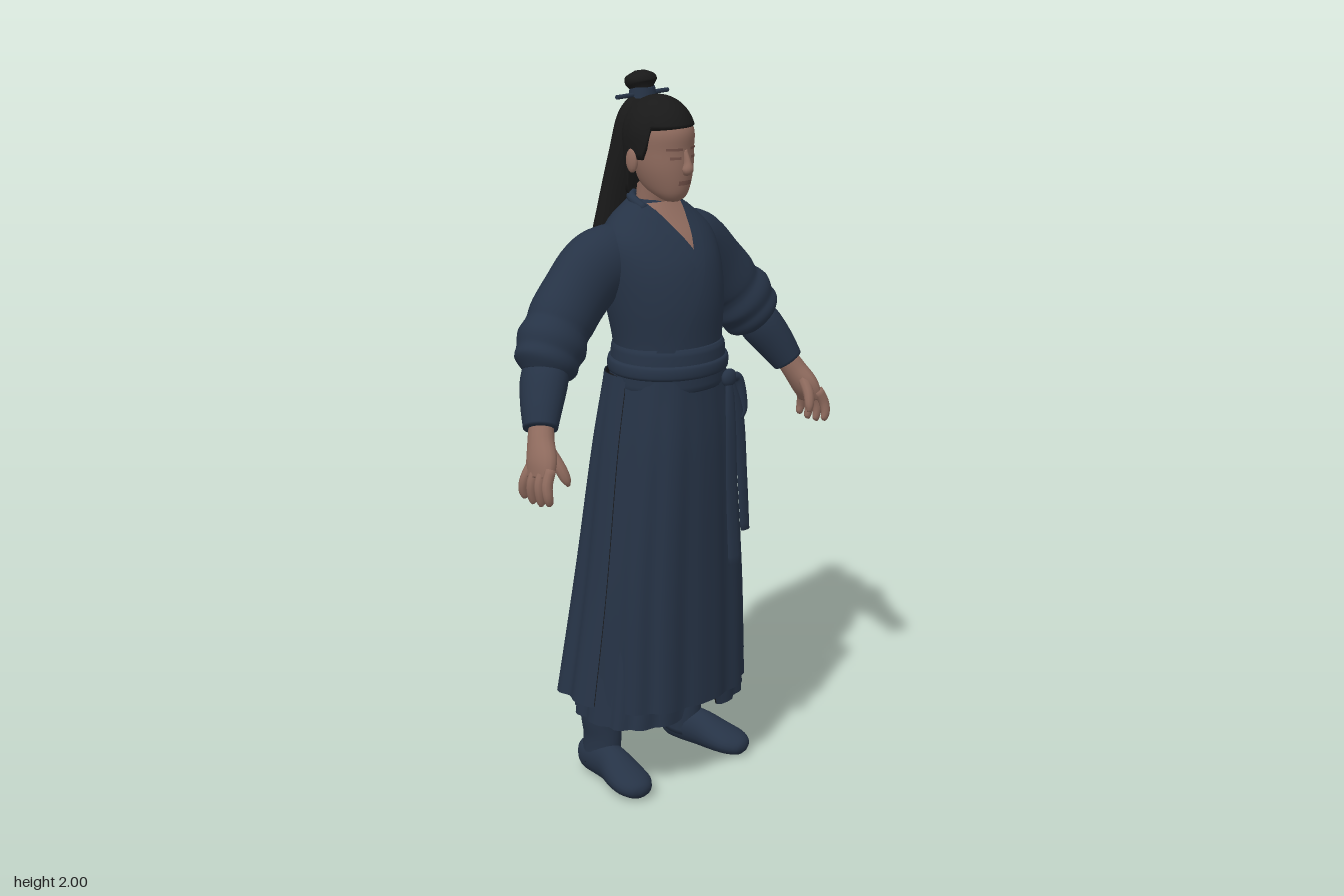
import * as THREE from 'three';

const mat = (name, color) => {
  const m = new THREE.MeshStandardMaterial({ color, side: THREE.DoubleSide });
  m.name = name;
  return m;
};
const V = (x, y, z) => new THREE.Vector3(x, y, z);
const rad = (d) => (d * Math.PI) / 180;

// Skin a list of point rings; `wrap` closes each ring, `caps` closes both ends
function surface(rings, wrap = true, caps = wrap) {
  const n = rings[0].length, pos = [], idx = [];
  rings.forEach((r) => r.forEach((p) => pos.push(p.x, p.y, p.z)));
  for (let i = 0; i < rings.length - 1; i++) {
    for (let j = 0; j < (wrap ? n : n - 1); j++) {
      const k = (j + 1) % n, a = i * n, b = a + n;
      idx.push(a + j, b + j, a + k, a + k, b + j, b + k);
    }
  }
  if (caps) {
    [0, rings.length - 1].forEach((r) => {
      const c = rings[r].reduce((s, p) => s.add(p), V(0, 0, 0)).divideScalar(n), at = pos.length / 3;
      pos.push(c.x, c.y, c.z);
      for (let j = 0; j < n; j++) {
        const p = r * n + j, q = r * n + ((j + 1) % n);
        if (r) idx.push(p, at, q); else idx.push(p, q, at);
      }
    });
  }
  const g = new THREE.BufferGeometry();
  g.setAttribute('position', new THREE.Float32BufferAttribute(pos, 3));
  g.setIndex(idx);
  g.computeVertexNormals();
  return g;
}

// Elliptical tube through stations [x, y, z, radiusSide, radiusRef]
function loft(stations, { ref = V(0, 0, 1), seg = 20, steps = 24 } = {}) {
  const path = new THREE.CatmullRomCurve3(stations.map((s) => V(s[0], s[1], s[2])), false, 'catmullrom');
  const size = new THREE.CatmullRomCurve3(stations.map((s) => V(s[3], s[4], 0)), false, 'catmullrom');
  const rings = [];
  for (let i = 0; i <= steps; i++) {
    const c = path.getPoint(i / steps), r = size.getPoint(i / steps), t = path.getTangent(i / steps);
    const v = ref.clone().addScaledVector(t, -ref.dot(t)).normalize(), u = t.clone().cross(v);
    rings.push(Array.from({ length: seg }, (_, j) => {
      const a = (j / seg) * Math.PI * 2;
      return c.clone().addScaledVector(u, Math.cos(a) * r.x).addScaledVector(v, Math.sin(a) * r.y);
    }));
  }
  return surface(rings);
}

// Smooth lookup in rows [y, halfWidth, frontZ, backZ] with y rising
function rowAt(rows, y) {
  let i = 0;
  while (i < rows.length - 2 && y > rows[i + 1][0]) i++;
  const a = rows[i], b = rows[i + 1], h = b[0] - a[0], t = Math.min(1, Math.max(0, (y - a[0]) / h));
  const slope = (k, c) => {
    const p = rows[Math.max(0, k - 1)], q = rows[Math.min(rows.length - 1, k + 1)];
    return (q[c] - p[c]) / (q[0] - p[0]);
  };
  return [1, 2, 3].map((c) => (2 * t ** 3 - 3 * t * t + 1) * a[c] + (t ** 3 - 2 * t * t + t) * h * slope(i, c)
    + (3 * t * t - 2 * t ** 3) * b[c] + (t ** 3 - t * t) * h * slope(i + 1, c));
}
function body(rows, n = 28, seg = 36) {
  const y0 = rows[0][0], y1 = rows[rows.length - 1][0];
  return surface(Array.from({ length: n + 1 }, (_, i) => {
    const y = y0 + ((y1 - y0) * i) / n, [rx, zf, zb] = rowAt(rows, y);
    return Array.from({ length: seg }, (_, j) => {
      const a = (j / seg) * Math.PI * 2;
      return V(Math.cos(a) * rx, y, (zf + zb) / 2 + Math.sin(a) * (zf - zb) / 2);
    });
  }));
}
// Thin sheet laid on the front of a body between two x edges
function patch(rows, y0, y1, left, right, off, n = 14) {
  return surface(Array.from({ length: n + 1 }, (_, i) => {
    const y = y0 + ((y1 - y0) * i) / n, [rx, zf, zb] = rowAt(rows, y);
    return Array.from({ length: 9 }, (_, j) => {
      const x = right(y) + ((left(y) - right(y)) * j) / 8;
      const k = Math.sqrt(Math.max(0, 1 - (x / rx) ** 2));
      return V(x, y, (zf + zb) / 2 + k * (zf - zb) / 2 + off);
    });
  }), false);
}
// Pleated cloth from hem to waist, over an angle range that may vary with height
function cloth(rows, hem, from, to, pleats, inset, wrap = false) {
  const top = rows[rows.length - 1][0], n = 24, seg = 96;
  return surface(Array.from({ length: n + 1 }, (_, i) => Array.from({ length: seg + (wrap ? 0 : 1) }, (_, j) => {
    const f = j / seg, low = hem(rad(from(0) + (to(0) - from(0)) * f));
    const y = low + ((top - low) * i) / n, t = Math.max(0, (top - y) / (top - rows[0][0]));
    const b = rad(from(t) + (to(t) - from(t)) * f), [rx, zf, zb] = rowAt(rows, y);
    const fold = 1 - 0.05 * Math.sqrt(t) * Math.abs(Math.sin(b * pleats)) ** 3;
    const c = Math.cos(b), s = Math.sin(b), sq = (k) => Math.sign(k) * Math.abs(k) ** 0.78;
    return V(sq(c) * (rx * fold - inset), y, sq(s) * ((s > 0 ? zf : -zb) * fold - inset));
  })), wrap, false);
}

export function createModel() {
  const root = new THREE.Group();
  root.name = 'robedFigure';
  const robe = mat('navyCloth', 0x263346);
  const lining = mat('darkLining', 0x17191d);
  const hair = mat('blackHair', 0x191919);
  const skin = mat('skin', 0x8f6b5e);
  const shade = mat('deepSkin', 0x75534a);
  const add = (name, geo, m) => {
    const o = new THREE.Mesh(geo, m);
    o.name = name;
    root.add(o);
    return o;
  };

  // Upper robe with crossed collar
  const torso = [[1.17, 0.158, 0.165, -0.11], [1.28, 0.157, 0.165, -0.115], [1.4, 0.172, 0.165, -0.14],
    [1.5, 0.18, 0.142, -0.145], [1.57, 0.175, 0.1, -0.138], [1.62, 0.135, 0.055, -0.12], [1.665, 0.073, 0.015, -0.088]];
  add('torso', body(torso), robe);
  const v = (y) => (y - 1.54) * 0.5;
  add('chestSkin', patch(torso, 1.54, 1.66, (y) => -v(y), v, 0.004), skin);
  add('underCollar', patch(torso, 1.5, 1.645, (y) => -v(y) - 0.036, (y) => -v(y), 0.008), robe);
  add('overCollar', patch(torso, 1.28, 1.645, v, (y) => v(y) + 0.036, 0.0095), robe);
  add('collarBack', loft([[0.066, 1.645, 0.005, 0.012, 0.012], [0.062, 1.67, -0.05, 0.013, 0.013], [0, 1.676, -0.083, 0.013, 0.013],
    [-0.062, 1.67, -0.05, 0.013, 0.013], [-0.066, 1.645, 0.005, 0.012, 0.012]], { ref: V(0, 1, 0), seg: 10 }), robe);

  // Belt and hanging sash
  add('belt', body([[1.165, 0.164, 0.174, -0.12], [1.18, 0.167, 0.178, -0.124], [1.27, 0.162, 0.174, -0.12], [1.285, 0.156, 0.166, -0.116]]), robe);
  add('beltWrap', body([[1.2, 0.163, 0.174, -0.12], [1.207, 0.172, 0.183, -0.129], [1.238, 0.171, 0.182, -0.129], [1.245, 0.16, 0.17, -0.118]], 8), robe);
  const knot = add('sashKnot', new THREE.SphereGeometry(0.026, 14, 10), robe);
  knot.scale.z = 0.6;
  knot.position.set(0.09, 1.18, 0.172);
  add('sashTailLong', loft([[0.09, 1.18, 0.172, 0.014, 0.008], [0.078, 1.05, 0.192, 0.02, 0.006], [0.07, 0.85, 0.206, 0.022, 0.006], [0.066, 0.66, 0.222, 0.024, 0.007]], { seg: 10 }), robe);
  add('sashTailShort', loft([[0.09, 1.18, 0.172, 0.014, 0.008], [0.116, 1.07, 0.182, 0.022, 0.008], [0.125, 0.9, 0.192, 0.019, 0.007], [0.13, 0.74, 0.2, 0.017, 0.007]], { seg: 10 }), robe);
  add('sashLoop', loft([[0.09, 1.18, 0.176, 0.012, 0.01], [0.128, 1.17, 0.172, 0.014, 0.012], [0.142, 1.09, 0.175, 0.015, 0.012], [0.12, 1.06, 0.182, 0.01, 0.01]], { seg: 10 }), robe);

  // Skirt: front panel, two back panels with a rear slit, and an under skirt, each lined
  const frontRows = [[0.26, 0.25, 0.195, -0.19], [0.6, 0.235, 0.192, -0.17], [1.0, 0.194, 0.186, -0.135], [1.2, 0.162, 0.168, -0.114]];
  const backRows = [[0.26, 0.318, 0.2, -0.232], [0.6, 0.258, 0.18, -0.195], [1.0, 0.203, 0.16, -0.145], [1.2, 0.166, 0.15, -0.118]];
  const underRows = [[0.2, 0.265, 0.165, -0.19], [0.6, 0.218, 0.165, -0.16], [1.1, 0.16, 0.15, -0.11]];
  const gap = (t) => 5 * Math.max(0, t - 0.45);
  const backHem = (a) => 0.265 + 0.035 * Math.max(0, Math.abs(Math.cos(a)) - 0.4);
  const underHem = (a) => 0.21 + 0.12 * Math.max(0, 1 - (Math.cos(a) / 0.2) ** 2);
  [[0, robe, ''], [0.004, lining, 'Lining']].forEach(([inset, m, tag]) => {
    add('skirtFront' + tag, cloth(frontRows, () => 0.26, () => -18, () => 198, 6, inset), m);
    add('skirtBackLeft' + tag, cloth(backRows, backHem, (t) => -90 + gap(t), () => 8, 7, inset), m);
    add('skirtBackRight' + tag, cloth(backRows, backHem, () => 172, (t) => 270 - gap(t), 7, inset), m);
    add('underSkirt' + tag, cloth(underRows, underHem, () => 0, () => 360, 8, inset, true), m);
  });

  // Neck and head
  add('neck', loft([[0, 1.58, -0.035, 0.055, 0.045], [0, 1.66, -0.028, 0.049, 0.048], [0, 1.75, -0.01, 0.05, 0.055]]), skin);
  const head = [[1.664, 0.018, 0.062, 0.02], [1.675, 0.037, 0.078, 0], [1.7, 0.056, 0.089, -0.05], [1.75, 0.074, 0.095, -0.08],
    [1.8, 0.08, 0.094, -0.09], [1.86, 0.08, 0.093, -0.1], [1.92, 0.045, 0.045, -0.065]];
  add('head', body(head), skin);
  add('nose', loft([[0, 1.805, 0.088, 0.007, 0.008], [0, 1.775, 0.098, 0.009, 0.012], [0, 1.755, 0.1, 0.016, 0.016], [0, 1.742, 0.093, 0.01, 0.008]], { seg: 12 }), skin);
  add('lips', patch(head, 1.713, 1.725, () => -0.023, () => 0.023, 0.003, 3), shade);
  for (const s of [1, -1]) {
    const edge = (a, b) => [() => (s > 0 ? a : -b), () => (s > 0 ? b : -a)];
    add('eye', patch(head, 1.783, 1.79, ...edge(0.018, 0.046), 0.003, 3), shade);
    add('brow', patch(head, 1.806, 1.813, ...edge(0.014, 0.054), 0.003, 3), shade);
    const ear = add('ear', new THREE.SphereGeometry(1, 12, 10), skin);
    ear.scale.set(0.012, 0.033, 0.02);
    ear.position.set(s * 0.088, 1.775, -0.02);
  }

  // Hair cap with hairline, long tail, topknot and pin
  const hairline = (a) => {
    const f = Math.sin(a), ss = THREE.MathUtils.smoothstep;
    return 1.68 + 0.1 * ss(f, -0.4, -0.2) + 0.085 * ss(f, 0.3, 0.5);
  };
  add('hairCap', surface(Array.from({ length: 17 }, (_, i) => Array.from({ length: 48 }, (_, j) => {
    const a = (j / 48) * Math.PI * 2, low = hairline(a);
    const y = low + (1.942 - low) * Math.sin((i / 16) * Math.PI / 2);
    const k = y > 1.835 ? Math.sqrt(Math.max(0, 1 - ((y - 1.835) / 0.107) ** 2)) : 1 - (1.835 - y) * 0.8;
    return V(Math.cos(a) * 0.094 * k, y, -0.01 + Math.sin(a) * 0.106 * k);
  }))), hair);
  add('hairTail', loft([[0, 1.935, -0.065, 0.035, 0.025], [0, 1.88, -0.08, 0.072, 0.045], [0, 1.78, -0.095, 0.09, 0.052], [0, 1.65, -0.122, 0.103, 0.054],
    [0, 1.5, -0.15, 0.115, 0.058], [0, 1.43, -0.158, 0.094, 0.048], [0, 1.395, -0.163, 0.052, 0.028], [0, 1.385, -0.165, 0.01, 0.006]], { seg: 28, steps: 40 }), hair);
  add('topknot', loft([[0, 1.91, -0.065, 0.035, 0.035], [0, 1.945, -0.07, 0.03, 0.028], [0, 1.968, -0.076, 0.045, 0.04], [0, 1.985, -0.078, 0.042, 0.036], [0, 1.998, -0.08, 0.015, 0.012]]), hair);
  const band = add('topknotBand', new THREE.CylinderGeometry(0.034, 0.038, 0.028, 20), robe);
  band.position.set(0, 1.943, -0.07);
  const pin = add('hairpin', new THREE.CylinderGeometry(0.006, 0.006, 0.19, 10), robe);
  pin.rotation.z = Math.PI / 2;
  pin.position.set(0, 1.937, -0.07);

  // Arms, hands and boots on both sides
  for (const s of [1, -1]) {
    const limb = (name, pts, m, opt) => add(name, loft(pts.map((p) => [p[0] * s, ...p.slice(1)]), opt), m);
    limb('sleeve', [[0.09, 1.515, -0.045, 0.09, 0.075], [0.15, 1.505, -0.054, 0.102, 0.084], [0.2, 1.483, -0.062, 0.104, 0.085], [0.26, 1.43, -0.062, 0.099, 0.083],
      [0.31, 1.38, -0.058, 0.097, 0.085], [0.335, 1.35, -0.053, 0.092, 0.083], [0.36, 1.32, -0.045, 0.102, 0.09], [0.38, 1.293, -0.038, 0.092, 0.083],
      [0.398, 1.268, -0.03, 0.088, 0.08], [0.415, 1.245, -0.024, 0.05, 0.05]], robe, { seg: 28, steps: 45 });
    limb('cuff', [[0.395, 1.27, -0.03, 0.055, 0.065], [0.42, 1.23, -0.012, 0.06, 0.066], [0.45, 1.18, 0.012, 0.054, 0.058], [0.477, 1.128, 0.036, 0.044, 0.047]], robe);
    limb('palm', [[0.468, 1.145, 0.03, 0.031, 0.034], [0.49, 1.1, 0.052, 0.033, 0.038], [0.51, 1.055, 0.075, 0.031, 0.048], [0.525, 1.015, 0.082, 0.02, 0.046]], skin, { seg: 16 });
    for (let i = 0; i < 4; i++) {
      const z = 0.047 + 0.024 * i, d = (i - 1.5) * 0.004, tip = 0.96 - 0.007 * (i === 1 || i === 2);
      limb('finger', [[0.518, 1.045, z, 0.016, 0.013], [0.536, 1.01, z + d, 0.016, 0.013], [0.539, 0.98, z + d * 2, 0.014, 0.012],
        [0.533, tip, z + d * 2, 0.011, 0.009], [0.53, tip - 0.006, z + d * 2, 0.004, 0.004]], skin, { seg: 10, steps: 12 });
    }
    limb('thumb', [[0.493, 1.085, 0.08, 0.02, 0.018], [0.483, 1.045, 0.113, 0.017, 0.015], [0.473, 1.012, 0.127, 0.014, 0.012], [0.467, 0.993, 0.131, 0.005, 0.005]], skin, { seg: 10, steps: 12 });
    limb('leg', [[0.165, 0.04, -0.08, 0.045, 0.064], [0.162, 0.12, -0.074, 0.046, 0.062], [0.162, 0.2, -0.075, 0.056, 0.066], [0.15, 0.35, -0.06, 0.062, 0.072], [0.12, 0.62, -0.02, 0.075, 0.085]], robe);
    limb('boot', [[0.163, 0.045, -0.15, 0.016, 0.026], [0.165, 0.05, -0.13, 0.036, 0.047], [0.168, 0.056, -0.08, 0.044, 0.055], [0.176, 0.056, -0.02, 0.047, 0.055],
      [0.19, 0.044, 0.045, 0.057, 0.043], [0.2, 0.036, 0.095, 0.056, 0.034], [0.205, 0.029, 0.128, 0.036, 0.024], [0.207, 0.026, 0.14, 0.01, 0.008]], robe, { ref: V(0, 1, 0) });
  }
  return root;
}
